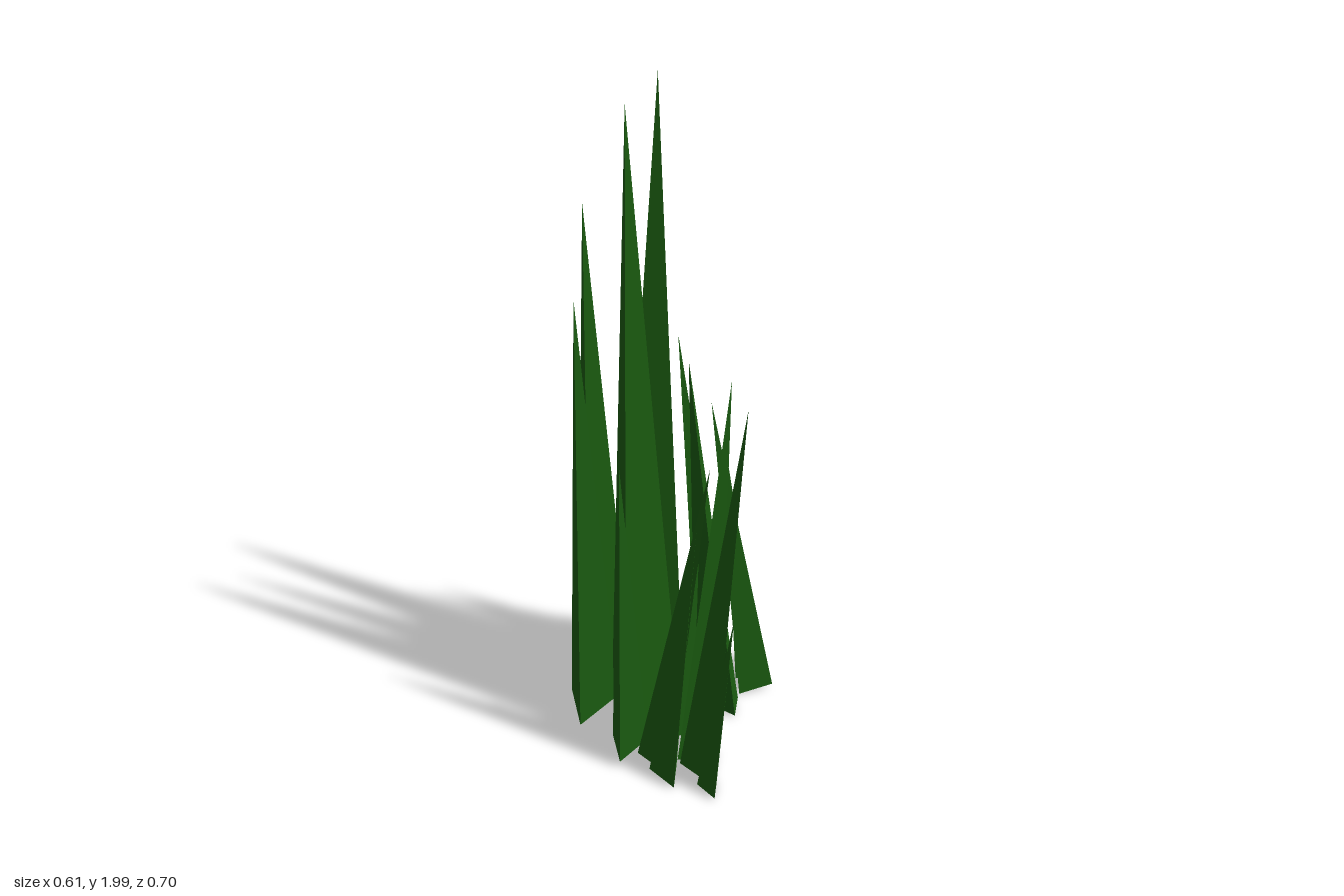
import * as THREE from 'three';

// Each blade: three base corners [x, z], then the tip [x, height, z]
const tallBlades = [
  [[-0.046, -0.316], [-0.104, -0.21], [0.0, -0.21], [-0.046, 1.01, -0.268]],
  [[-0.044, -0.231], [-0.157, -0.033], [0.052, -0.031], [-0.044, 1.99, -0.15]],
  [[-0.17, -0.037], [0.039, -0.026], [-0.089, 0.168], [-0.084, 1.99, 0.094]],
  [[-0.303, -0.168], [-0.128, -0.159], [-0.231, -0.007], [-0.229, 1.65, -0.057]],
  [[-0.296, -0.042], [-0.15, -0.035], [-0.238, 0.109], [-0.235, 1.42, 0.052]],
  [[-0.133, 0.144], [-0.028, 0.15], [-0.091, 0.251], [-0.089, 1.01, 0.208]],
];
const leaningBlades = [
  [[-0.048, 0.198], [0.044, 0.146], [0.06, 0.268], [0.15, 1.01, 0.174]],
  [[0.081, 0.222], [0.176, 0.159], [0.187, 0.292], [0.25, 1.21, 0.187]],
  [[0.063, 0.061], [0.183, 0.152], [0.072, 0.209], [0.187, 1.21, 0.043]],
  [[0.035, 0.035], [0.041, 0.109], [0.096, 0.068], [0.1, 0.6, 0.022]],
  [[-0.002, 0.261], [0.07, 0.216], [0.079, 0.32], [0.125, 0.86, 0.235]],
  [[0.144, 0.303], [0.196, 0.272], [0.201, 0.346], [0.237, 0.6, 0.285]],
];

// Half turn (and a touch more) that places the rear leaning clump
const turn = (x, z) => [0.241 - x + 0.07 * z, 0.01 - z - 0.07 * x];

// Closed three-sided spike; the base rises on the side away from the lean
function bladeGeometry(corners, tip, lowY, highY) {
  const dist = corners.map(([x, z]) => Math.hypot(x - tip[0], z - tip[2]));
  const far = Math.max(...dist), near = Math.min(...dist);
  let base = corners.map(([x, z], i) =>
    [x, lowY + (highY - lowY) * (dist[i] - near) / (far - near), z]);
  const [a, b, c] = base;
  const area = (b[0] - a[0]) * (c[2] - a[2]) - (b[2] - a[2]) * (c[0] - a[0]);
  if (area > 0) base = [a, c, b]; // counter-clockwise from above
  const pos = [...base[0], ...base[2], ...base[1]];
  for (let i = 0; i < 3; i++) pos.push(...base[i], ...base[(i + 1) % 3], ...tip);
  const geometry = new THREE.BufferGeometry();
  geometry.setAttribute('position', new THREE.Float32BufferAttribute(pos, 3));
  geometry.computeVertexNormals();
  return geometry;
}

export function createModel() {
  const model = new THREE.Group();
  model.name = 'grassTuft';
  const material = new THREE.MeshStandardMaterial({ color: 0x1a5a10, flatShading: true });

  function addClump(name, blades, lowY, highY, place = (x, z) => [x, z]) {
    const clump = new THREE.Group();
    clump.name = name;
    blades.forEach(([a, b, c, [tx, ty, tz]], i) => {
      const [px, pz] = place(tx, tz);
      const corners = [a, b, c].map(([x, z]) => place(x, z));
      const blade = new THREE.Mesh(bladeGeometry(corners, [px, ty, pz], lowY, highY), material);
      blade.name = `blade${i + 1}`;
      clump.add(blade);
    });
    model.add(clump);
  }

  addClump('tallClump', tallBlades, 0.025, 0.035);
  addClump('frontLeaningClump', leaningBlades, 0.004, 0.02);
  addClump('rearLeaningClump', leaningBlades, 0.004, 0.02, turn);
  return model;
}
